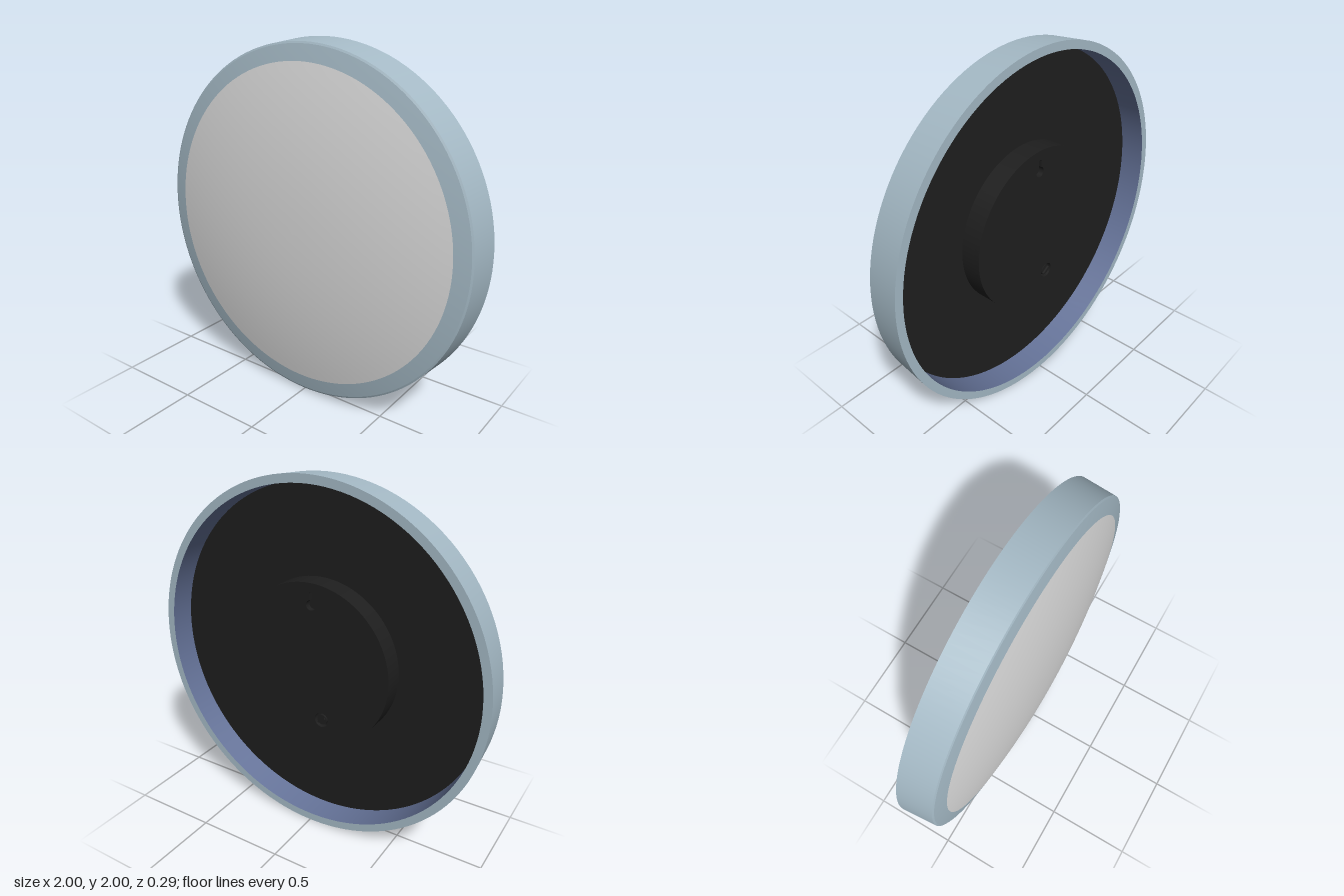
import * as THREE from 'three';

const mat = (name, color) => {
  const m = new THREE.MeshStandardMaterial({ color });
  m.name = name;
  return m;
};

export function createModel() {
  const blue = mat('pale blue rim', 0xa5bac6);
  const inside = mat('slate blue lining', 0x66749a);
  const white = mat('white face', 0xdcdcdc);
  const black = mat('black back', 0x1e1e1e);

  const model = new THREE.Group();
  model.name = 'roundWallDisc';
  const body = new THREE.Group();
  body.name = 'body';
  body.position.y = 1;
  model.add(body);

  const add = (name, geometry, material) => {
    const mesh = new THREE.Mesh(geometry, material);
    mesh.name = name;
    body.add(mesh);
    return mesh;
  };
  // Surface of revolution around z; points are [radius, z]
  const turn = (name, points, material, segments = 128) => add(name,
    new THREE.LatheGeometry(points.map(([r, z]) => new THREE.Vector2(r, z)), segments).rotateX(Math.PI / 2),
    material);

  // Shallow dome shared by the bezel and the face
  const dome = (r0, r1, n) => Array.from({ length: n + 1 }, (_, i) => {
    const r = r0 + (r1 - r0) * i / n;
    return [r, 0.145 - 0.095 * Math.pow(r / 0.975, 2.15)];
  });

  // Rim, bezel and face
  turn('rimSide', [[1, -0.145], [0.985, 0.045]], blue);
  turn('rimFrontEdge', [[0.985, 0.045], [0.975, 0.05]], blue);
  turn('rimBackEdge', [[0.955, -0.145], [1, -0.145]], blue);
  turn('bezel', dome(0.975, 0.89, 4), blue);
  turn('face', dome(0.89, 0, 20), white);

  // Hollow back
  turn('rimLining', [[0.95, 0], [0.955, -0.145]], inside);
  turn('backPanel', [[0, -0.005], [0.955, -0.005]], black);

  // Central hub: solid core, wall, and a cover plate with two openings
  turn('hubCore', [[0, -0.09], [0.455, -0.09]], black, 96);
  turn('hubWall', [[0.46, -0.12], [0.46, -0.005]], black, 96);

  const cover = new THREE.Shape().absarc(0, 0, 0.46, 0, Math.PI * 2);
  const keyhole = new THREE.Path();
  keyhole.moveTo(-0.01, 0.4);
  keyhole.lineTo(-0.01, 0.366);
  keyhole.absarc(0, 0.34, 0.028, Math.PI * 0.62, Math.PI * 2.38, false);
  keyhole.lineTo(0.01, 0.4);
  keyhole.absarc(0, 0.4, 0.01, 0, Math.PI, false);
  const knobHole = new THREE.Path().absarc(-0.065, -0.315, 0.043, 0, Math.PI * 2);
  cover.holes.push(keyhole, knobHole);
  add('hubCover', new THREE.ExtrudeGeometry(cover,
    { depth: 0.03, bevelEnabled: false, curveSegments: 48 }).translate(0, 0, -0.12), black);

  // Small adjusting knob with a grip bar
  const knob = add('knob', new THREE.CylinderGeometry(0.03, 0.03, 0.025, 24).rotateX(Math.PI / 2), black);
  knob.position.set(-0.065, -0.315, -0.1025);
  const grip = add('knobGrip', new THREE.BoxGeometry(0.05, 0.01, 0.012), black);
  grip.position.set(-0.065, -0.315, -0.12);
  grip.rotation.z = -0.6;

  return model;
}
